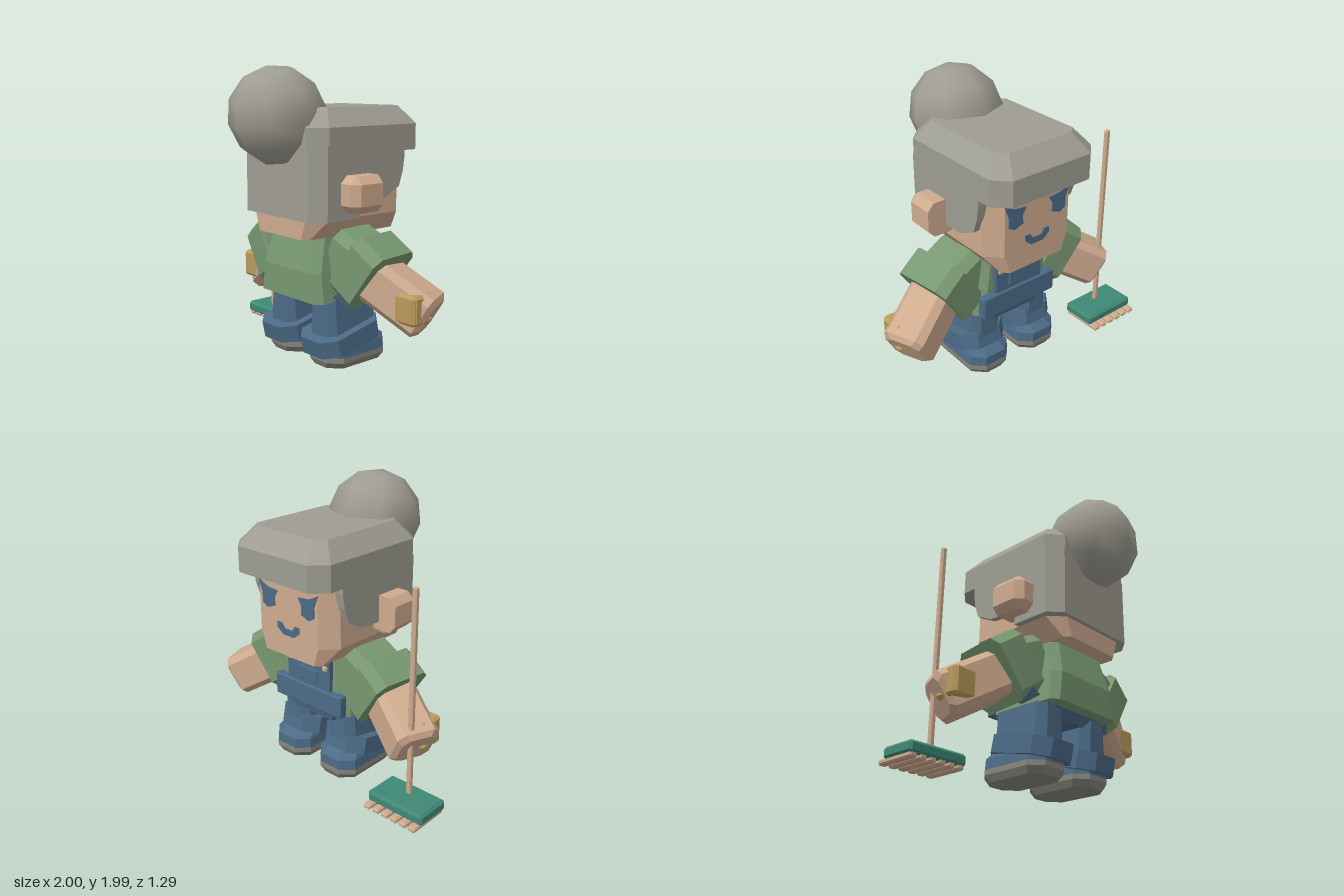
import * as THREE from 'three';
import { ConvexGeometry } from 'three/addons/geometries/ConvexGeometry.js';

const CX = 0.07; // the figure stands a little off centre, beside the broom
const V = (x, y, z) => new THREE.Vector3(x, y, z);
const mat = (name, color) => {
  const m = new THREE.MeshStandardMaterial({ color });
  m.name = name;
  return m;
};

// Octagonal horizontal ring: half width, z range, corner cut
function ring(y, hw, z0, z1, c) {
  const out = [];
  for (const s of [-1, 1]) {
    out.push(V(s * hw, y, z0 + c), V(s * hw, y, z1 - c), V(s * (hw - c), y, z0), V(s * (hw - c), y, z1));
  }
  return out;
}

// Box with all edges bevelled, given by its two corners
function bevelBox(a, b, c) {
  const mid = a.map((v, i) => (v + b[i]) / 2), h = a.map((v, i) => Math.abs(b[i] - v) / 2);
  const pts = [];
  for (const sx of [-1, 1]) for (const sy of [-1, 1]) for (const sz of [-1, 1]) {
    const s = [sx, sy, sz];
    for (let k = 0; k < 3; k++) {
      pts.push(V(...mid.map((m, i) => m + s[i] * (h[i] - (i === k ? 0 : c)))));
    }
  }
  return pts;
}

// Octagonal limb section between two points, with a bevelled far end
function limb(from, to, h, c, endBevel) {
  const d = to.clone().sub(from).normalize();
  const v = V(0, 1, 0).cross(d).normalize(), u = d.clone().cross(v);
  const pts = [];
  const section = (p, r) => {
    for (const a of [-1, 1]) for (const b of [-1, 1]) {
      pts.push(p.clone().addScaledVector(u, a * r).addScaledVector(v, b * (r - c)));
      pts.push(p.clone().addScaledVector(u, a * (r - c)).addScaledVector(v, b * r));
    }
  };
  section(from, h);
  section(to.clone().addScaledVector(d, -endBevel), h);
  if (endBevel) section(to, h - endBevel);
  return pts;
}

export function createModel() {
  const root = new THREE.Group();
  root.name = 'broomKeeper';
  const body = new THREE.Group();
  body.name = 'figure';
  body.position.x = CX;
  root.add(body);

  const hair = mat('grey hair', 0x9f9d92), skin = mat('skin', 0xcfab8f), green = mat('green shirt', 0x789871);
  const blue = mat('blue denim', 0x4c6b87), sole = mat('grey soles', 0x87857d);
  const gold = mat('gold', 0xbc9b5d), teal = mat('teal', 0x3f8875);

  const add = (name, geo, m, parent = body) => {
    const mesh = new THREE.Mesh(geo, m);
    mesh.name = name;
    parent.add(mesh);
    return mesh;
  };
  const hull = (name, pts, m, parent) => add(name, new ConvexGeometry(pts), m, parent);
  const box = (name, a, b, c, m, parent) => hull(name, bevelBox(a, b, c), m, parent);
  const mirrored = (pts, s) => pts.map(p => V(p.x * s, p.y, p.z));

  // Head
  hull('head', [...ring(0.89, 0.26, -0.515, 0.31, 0.04), ...ring(1.02, 0.365, -0.515, 0.31, 0.1),
    ...ring(1.6, 0.365, -0.515, 0.31, 0.1)], skin);

  // Hair: crown with overhanging fringe, back, and side locks
  hull('hairCrown', [...ring(1.44, 0.41, -0.645, 0.34, 0.1), ...ring(1.615, 0.41, -0.645, 0.34, 0.1),
    ...ring(1.735, 0.31, -0.53, 0.23, 0.06)], hair);
  hull('hairBack', [...ring(1.02, 0.41, 0.16, 0.34, 0.09), ...ring(1.5, 0.41, 0.16, 0.34, 0.09)], hair);
  const lock = new THREE.Shape([[0.25, 1.02], [0.25, 1.5], [-0.44, 1.5], [-0.44, 1.4], [-0.425, 1.3],
    [-0.39, 1.2], [-0.26, 1.135], [-0.03, 1.12], [-0.03, 1.02]].map(p => new THREE.Vector2(-p[0], p[1])));
  for (const s of [-1, 1]) {
    const g = new THREE.ExtrudeGeometry(lock, { depth: 0.08, bevelEnabled: false });
    g.rotateY(Math.PI / 2).translate(s > 0 ? 0.33 : -0.41, 0, 0);
    add('hairSideLock', g, hair);
  }
  const bun = add('hairBun', new THREE.SphereGeometry(0.325, 8, 6), hair);
  bun.position.set(0, 1.68, 0.33);
  bun.rotation.x = 0.25;

  // Ears
  for (const s of [-1, 1]) {
    const pts = [...bevelBox([0.33, 1.07, -0.1], [0.545, 1.31, 0.14], 0.05),
      V(0.33, 1.07, -0.1), V(0.33, 1.31, -0.1), V(0.5, 1.31, -0.1), V(0.5, 1.07, -0.1),
      V(0.545, 1.26, -0.1), V(0.545, 1.12, -0.1)];
    hull('ear', mirrored(pts, s), skin);
  }

  // Face details: thin plates
  const plate = (name, pts) => {
    const g = new THREE.ExtrudeGeometry(new THREE.Shape(pts.map(p => new THREE.Vector2(p[0], p[1]))),
      { depth: 0.007, bevelEnabled: false });
    add(name, g, blue).position.z = -0.521;
  };
  for (const s of [-1, 1]) {
    plate('eye', [[0.27, 1.38], [0.19, 1.34], [0.095, 1.33], [0.125, 1.28], [0.12, 1.22], [0.19, 1.195],
      [0.235, 1.22], [0.235, 1.29]].map(p => [p[0] * s, p[1]]));
  }
  plate('mouth', [[-0.1, 1.12], [-0.1, 1.08], [-0.05, 1.04], [0.05, 1.04], [0.1, 1.08], [0.1, 1.12],
    [0.06, 1.12], [0.035, 1.085], [-0.035, 1.085], [-0.06, 1.12]]);

  // Shirt and dungarees
  hull('shirt', [...ring(0.46, 0.32, -0.32, 0.25, 0.05), ...ring(0.66, 0.295, -0.32, 0.25, 0.05),
    ...ring(0.89, 0.26, -0.31, 0.19, 0.05)], green);
  hull('hips', [...ring(0.4, 0.22, -0.31, 0.12, 0.04), ...ring(0.5, 0.27, -0.33, 0.19, 0.04)], blue);
  box('bib', [-0.2, 0.46, -0.35], [0.2, 0.83, -0.3], 0.005, blue);
  box('waistPanel', [-0.31, 0.47, -0.365], [0.31, 0.63, -0.3], 0.008, blue);
  box('bibPocket', [-0.09, 0.66, -0.362], [0.09, 0.76, -0.34], 0.005, blue);
  for (const s of [-1, 1]) {
    box('strap', [s * 0.13, 0.78, -0.352], [s * 0.2, 0.895, -0.3], 0.005, blue);
    box('strapButton', [s * 0.145, 0.78, -0.368], [s * 0.185, 0.815, -0.34], 0.006, skin);
  }

  for (const s of [-1, 1]) {
    // Leg, tilted cuff and shoe
    const leg = new THREE.Group();
    leg.name = 'leg';
    leg.position.x = s * 0.215;
    body.add(leg);
    hull('trouserLeg', [...ring(0.08, 0.14, -0.3, 0.155, 0.06), ...ring(0.47, 0.11, -0.29, 0.155, 0.05)], blue, leg);
    const cuff = hull('trouserCuff', [...ring(-0.06, 0.185, -0.265, 0.265, 0.09),
      ...ring(0.06, 0.185, -0.265, 0.265, 0.09)], blue, leg);
    cuff.position.set(0, 0.2, -0.04);
    cuff.rotation.x = 0.21;
    hull('shoe', [...ring(0.075, 0.167, -0.37, 0.155, 0.08), ...ring(0.15, 0.16, -0.37, 0.155, 0.08),
      ...ring(0.2, 0.14, -0.3, 0.14, 0.08)], blue, leg);
    hull('shoeSole', [...ring(0, 0.14, -0.35, 0.135, 0.08), ...ring(0.045, 0.167, -0.372, 0.157, 0.08),
      ...ring(0.08, 0.167, -0.372, 0.157, 0.08)], sole, leg);

    // Arm
    const arm = new THREE.Group();
    arm.name = 'arm';
    body.add(arm);
    hull('forearm', mirrored(limb(V(0.37, 0.72, -0.04), V(0.85, 0.415, -0.24), 0.15, 0.045, 0.03), s), skin, arm);
    hull('sleeve', mirrored(limb(V(0.23, 0.77, -0.07), V(0.42, 0.68, -0.09), 0.195, 0.06, 0), s), green, arm);
    hull('sleeveCuff', mirrored(limb(V(0.37, 0.74, -0.08), V(0.54, 0.62, -0.105), 0.22, 0.06, 0), s), green, arm);
    hull('sleeveLining', mirrored([V(0.64, 0.75, 0.1), V(0.42, 0.43, 0.07), V(0.33, 0.5, 0.135),
      V(0.63, 0.75, 0.07), V(0.42, 0.44, 0.04), V(0.34, 0.51, 0.1)], s), blue, arm);

    // Wrapped hand guard: back plate, side plate and two prongs
    const g = (a, b) => hull('handGuard', mirrored(bevelBox(a, b, 0.018), s), gold, arm);
    g([0.7, 0.395, -0.1], [0.89, 0.59, -0.03]);
    g([0.82, 0.395, -0.13], [0.895, 0.59, -0.04]);
    g([0.83, 0.395, -0.22], [0.89, 0.445, -0.08]);
    g([0.83, 0.54, -0.22], [0.89, 0.59, -0.08]);
  }

  // Broom
  const broom = new THREE.Group();
  broom.name = 'broom';
  root.add(broom);
  box('broomHandle', [-0.79, 0.08, -0.302], [-0.755, 1.515, -0.268], 0.007, skin, broom);
  box('broomHead', [-0.995, 0.028, -0.45], [-0.555, 0.108, -0.19], 0.018, teal, broom);
  for (let i = 0; i < 6; i++) {
    const x = -0.984 + i * 0.0725;
    box('bristle', [x, 0.005, -0.503], [x + 0.056, 0.042, -0.2], 0.01, skin, broom);
  }
  return root;
}
